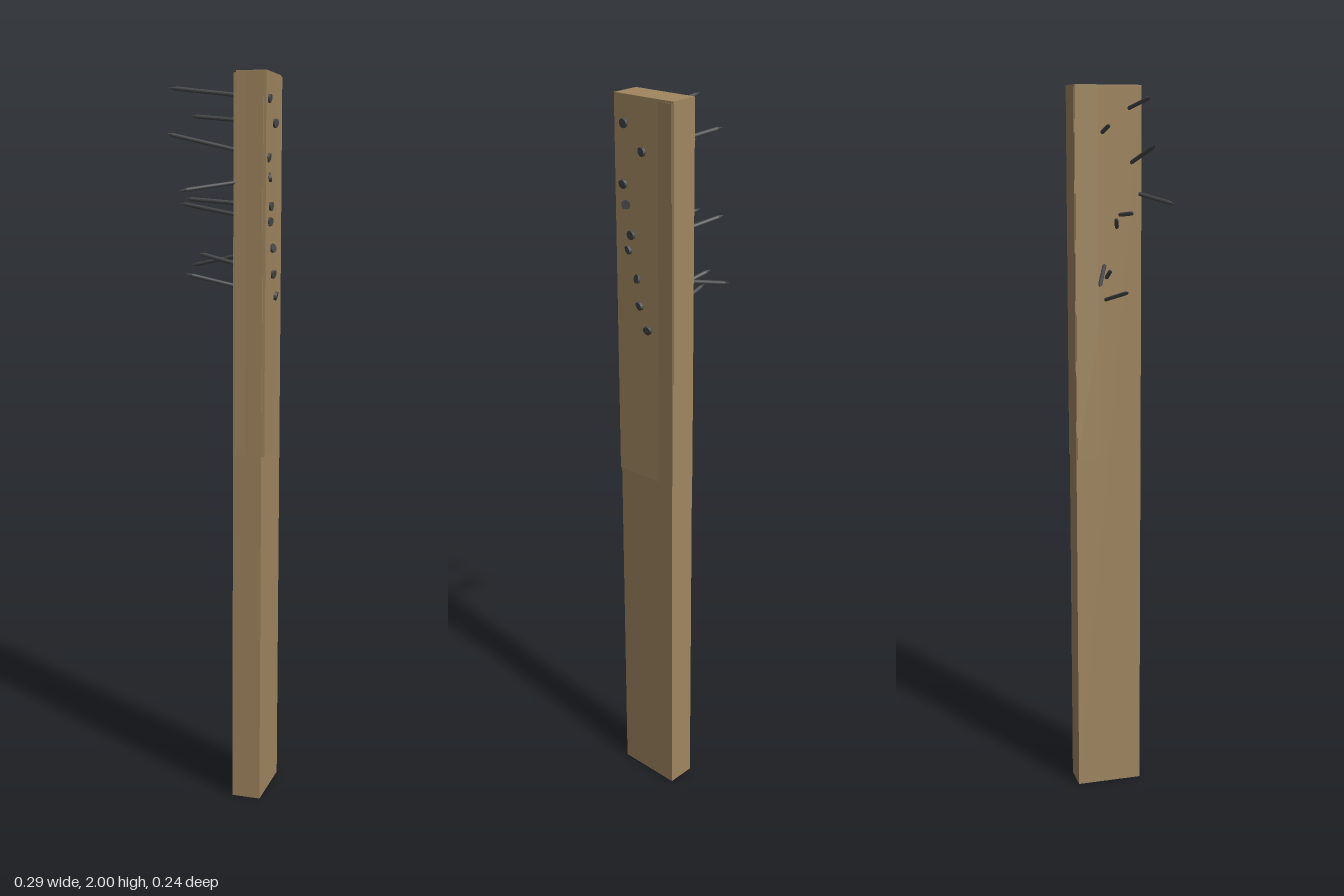
import * as THREE from 'three';

export function createModel() {
  const model = new THREE.Group();
  const wood = new THREE.MeshStandardMaterial({ color: 0xa08660 });
  wood.name = 'wood';
  const iron = new THREE.MeshStandardMaterial({ color: 0x484a4b });
  iron.name = 'iron';

  // Full-length plank, standing slightly off-centre
  const plank = new THREE.Mesh(new THREE.BoxGeometry(0.08, 1.995, 0.186), wood);
  plank.name = 'plank';
  plank.position.set(0.09, 0.9975, -0.029);
  model.add(plank);

  // Slightly twisted upper board overlapping the plank
  const upper = new THREE.Mesh(new THREE.BoxGeometry(0.081, 1.01, 0.186), wood);
  upper.name = 'upperBoard';
  upper.position.set(0.092, 1.495, -0.0295);
  upper.rotation.y = 0.055;
  model.add(upper);

  // Nails: head y, head z, then tip x, y, z
  const nails = [
    [1.93, 0.03, -0.14, 1.963, 0.03],
    [1.87, -0.03, -0.115, 1.895, -0.07],
    [1.78, 0.035, -0.145, 1.845, 0.042],
    [1.73, 0.025, -0.083, 1.695, 0.115],
    [1.655, 0.01, -0.108, 1.675, -0.004],
    [1.615, 0.02, -0.14, 1.662, -0.058],
    [1.545, -0.01, -0.122, 1.49, -0.098],
    [1.475, -0.017, -0.09, 1.527, -0.06],
    [1.415, -0.045, -0.112, 1.472, -0.017],
  ];
  const up = new THREE.Vector3(0, 1, 0);
  const point = 0.02;
  for (const [hy, hz, tx, ty, tz] of nails) {
    const start = new THREE.Vector3(0.138, hy, hz);
    const dir = new THREE.Vector3(tx, ty, tz).sub(start);
    const length = dir.length();
    const nail = new THREE.Group();
    nail.name = 'nail';
    nail.position.copy(start);
    nail.quaternion.setFromUnitVectors(up, dir.normalize());

    const add = (name, geometry, y) => {
      const mesh = new THREE.Mesh(geometry, iron);
      mesh.name = name;
      mesh.position.y = y;
      nail.add(mesh);
    };
    add('nailHead', new THREE.CylinderGeometry(0.012, 0.012, 0.007, 10), 0);
    add('nailShaft', new THREE.CylinderGeometry(0.0055, 0.0055, length - point, 8), (length - point) / 2);
    add('nailTip', new THREE.ConeGeometry(0.0055, point, 8), length - point / 2);
    model.add(nail);
  }
  return model;
}
